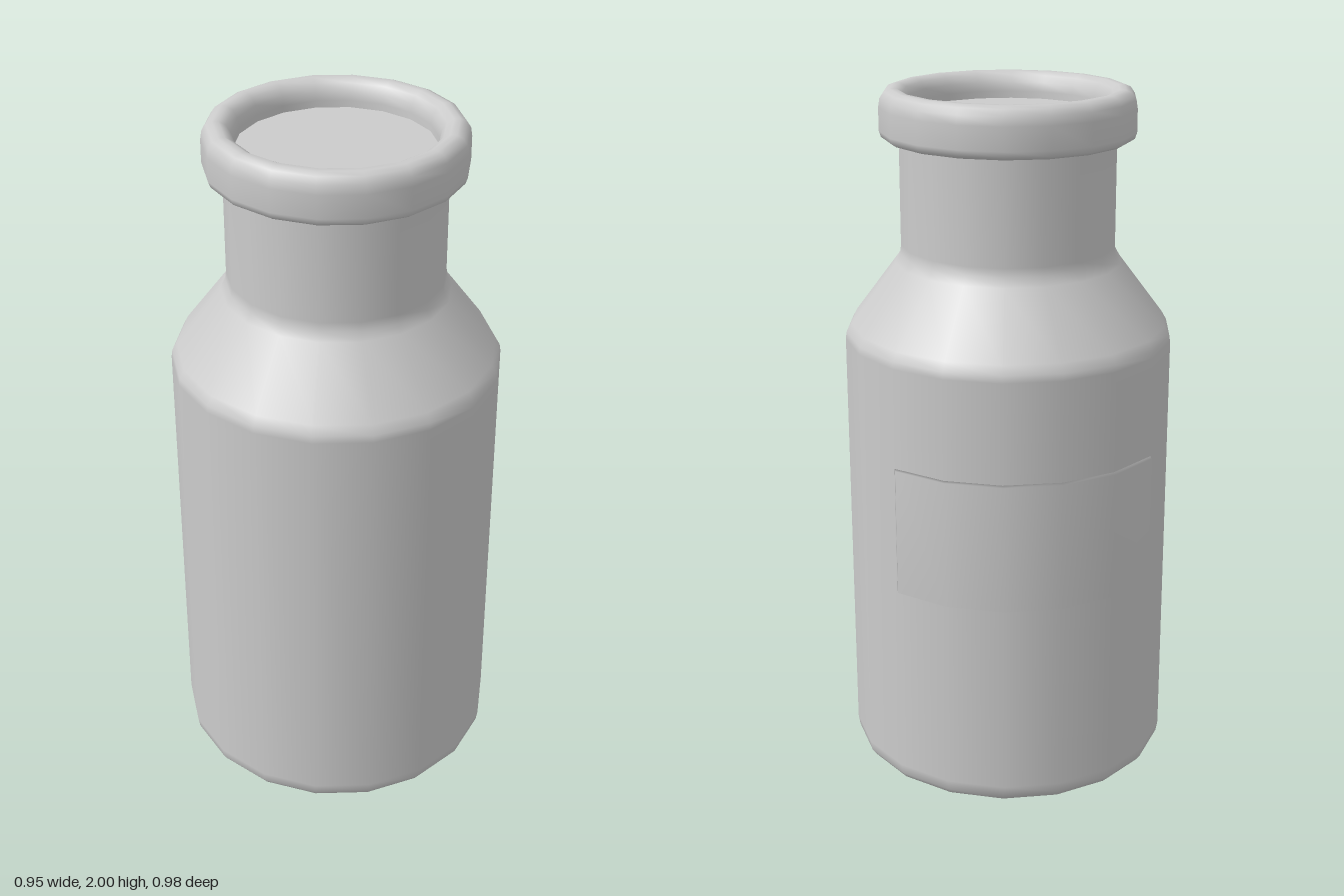
import * as THREE from 'three';
import { mergeVertices } from 'three/addons/utils/BufferGeometryUtils.js';

const SIDES = 18;
const DEPTH = 1.032; // the round parts are slightly deeper than wide
const CENTRE_Z = 0.009;
const material = new THREE.MeshStandardMaterial({ color: 0xcccccc });

// Profile of [radius, height] pairs, turned with a corner on the x axis
function turned(name, profile) {
  const points = profile.map(([r, y]) => new THREE.Vector2(r, y));
  const mesh = new THREE.Mesh(new THREE.LatheGeometry(points, SIDES, Math.PI / 2), material);
  mesh.name = name;
  mesh.scale.z = DEPTH;
  mesh.position.z = CENTRE_Z;
  return mesh;
}

// Curved plate that follows the back facets, pushed straight out of the wall
function backPlate() {
  const radius = 0.473, thickness = 0.02, bottom = 0.63, top = 1.0;
  const wall = [];
  for (let i = 2; i <= 7; i++) {
    const a = (i / SIDES) * Math.PI * 2;
    wall.push(new THREE.Vector2(radius * Math.cos(a), radius * DEPTH * Math.sin(a) - CENTRE_Z));
  }
  const outer = wall.map(p => new THREE.Vector2(p.x, p.y + thickness));
  const shape = new THREE.Shape([...outer, ...wall.reverse()]);
  let geometry = new THREE.ExtrudeGeometry(shape, { depth: top - bottom, bevelEnabled: false });
  geometry.rotateX(-Math.PI / 2);
  geometry.translate(0, bottom, 0);
  // Shared corners give the plate its soft shading
  geometry.deleteAttribute('normal');
  geometry.deleteAttribute('uv');
  geometry = mergeVertices(geometry, 1e-4);
  geometry.computeVertexNormals();
  const mesh = new THREE.Mesh(geometry, material);
  mesh.name = 'backPlate';
  return mesh;
}

export function createModel() {
  const model = new THREE.Group();
  model.name = 'bottle';

  model.add(
    turned('base', [[0, 0], [0.43, 0]]),
    // Wall with rounded foot, sloping shoulder and straight neck
    turned('body', [
      [0.43, 0], [0.455, 0.012], [0.468, 0.03], [0.473, 0.06],
      [0.473, 1.29], [0.47, 1.31], [0.456, 1.335],
      [0.325, 1.51], [0.311, 1.535], [0.308, 1.56], [0.308, 1.88],
    ]),
    // Rolled lip
    turned('rim', [
      [0.277, 1.86], [0.345, 1.86], [0.357, 1.868], [0.363, 1.885],
      [0.363, 1.95], [0.359, 1.975], [0.347, 1.993], [0.33, 2],
      [0.312, 2], [0.294, 1.99], [0.282, 1.97], [0.277, 1.945], [0.277, 1.86],
    ]),
    // Disc that closes the mouth
    turned('mouthDisc', [[0.3, 1.925], [0, 1.925]]),
    backPlate(),
  );
  return model;
}
